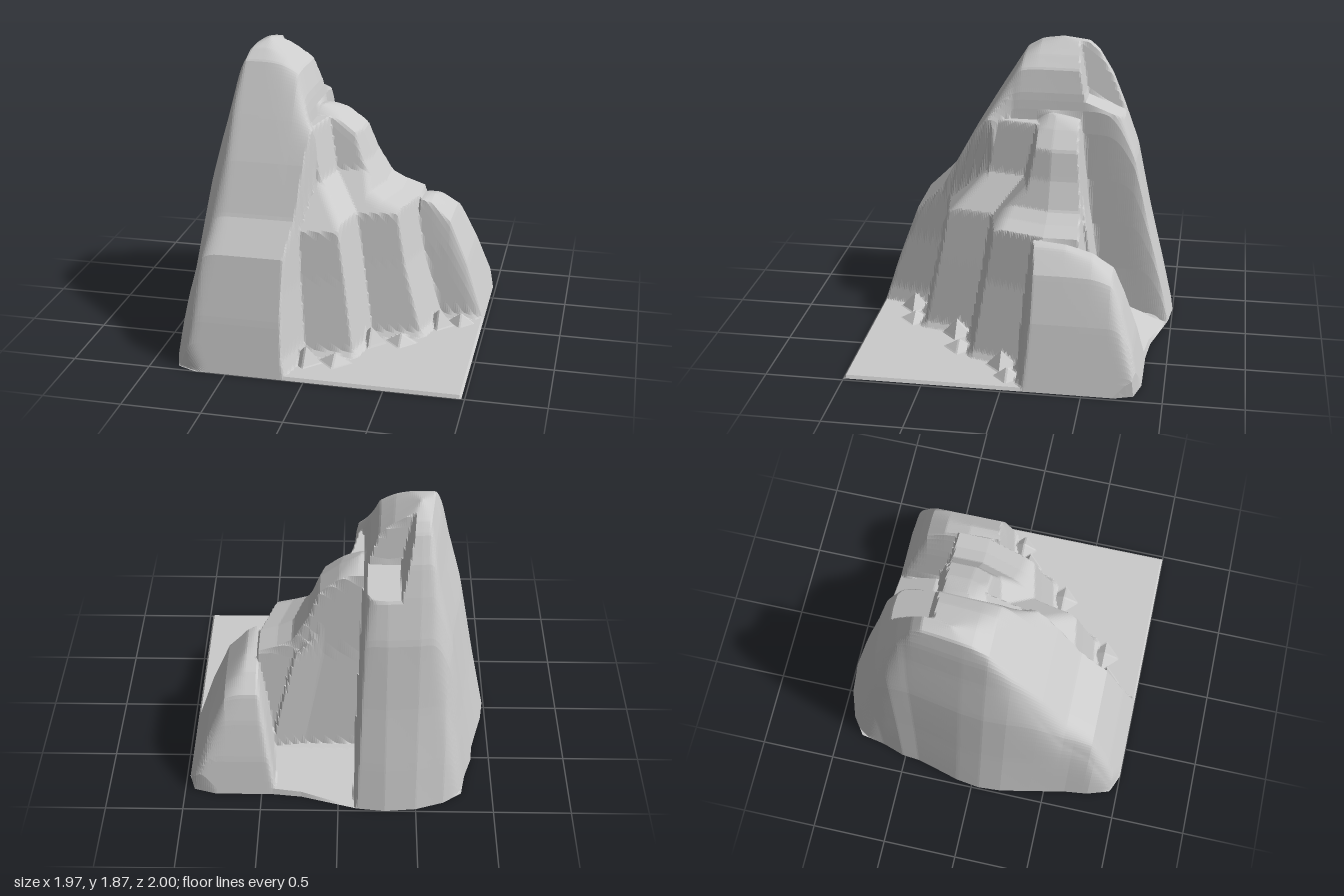
import * as THREE from 'three';

// Piecewise-linear profile through [position, value] pairs
function profile(points, t) {
  if (t <= points[0][0]) return points[0][1];
  for (let i = 1; i < points.length; i++) {
    const [a, ya] = points[i - 1], [b, yb] = points[i];
    if (t <= b) return ya + (yb - ya) * (t - a) / (b - a);
  }
  return points[points.length - 1][1];
}

// Lower of two heights with a slightly worn edge
function softMin(a, b, k = 0.05) {
  const t = Math.max(k - Math.abs(a - b), 0) / k;
  return Math.min(a, b) - t * t * k * 0.25;
}

// Two profile heights joined by a corner that is rounder towards the top
function dome(top, fx, gz) {
  const a = Math.max(0, 1 - fx / top), b = Math.max(0, 1 - gz / top);
  const p = 3 + 9 * Math.max(a, b) ** 3;
  return top * (1 - (a ** p + b ** p) ** (1 / p));
}

// Footprint edges: left edge against z, back edge against x
const leftEdge = [[-1, -0.8], [-0.82, -0.83], [-0.65, -0.88], [-0.5, -0.89], [-0.3, -0.93], [-0.1, -0.97],
  [0.05, -0.99], [0.2, -0.98], [0.4, -0.94], [0.64, -0.89], [0.8, -0.87], [0.95, -0.82], [1, -0.7]];
const backEdge = [[-0.99, -0.72], [-0.82, -0.82], [-0.68, -0.92], [-0.5, -0.98], [-0.3, -1], [-0.12, -0.98],
  [0.24, -0.88], [0.43, -0.86], [0.8, -0.86], [0.94, -0.82], [0.98, -0.7]];

// Main peak with its long front arm
const PEAK = 1.87;
const peakX = [[-1, 0], [-0.95, 0.25], [-0.9, 0.5], [-0.8, 1.05], [-0.7, 1.45], [-0.65, 1.68], [-0.6, 1.84],
  [-0.52, PEAK], [-0.35, 1.78], [-0.25, 1.71], [-0.19, 1.55], [-0.16, 1.42], [-0.1, 0]];
const peakZ = [[-1, 0], [-0.93, 0.3], [-0.83, 0.7], [-0.73, 1.16], [-0.63, 1.43], [-0.55, 1.62], [-0.45, 1.78],
  [-0.38, 1.84], [-0.2, PEAK], [-0.05, 1.83], [0.05, 1.77], [0.25, 1.45], [0.4, 1.2], [0.57, 0.89],
  [0.76, 0.7], [0.9, 0.32], [1, 0]];
// Steep right flank of the front arm
const armX = [[-0.35, 1.9], [-0.3, 1.4], [-0.26, 0.85], [-0.22, 0.5], [-0.16, 0.12], [-0.12, 0]];

// Buttresses: the lower of an x and a z profile, each wall slanting in plan
const buttresses = [
  { slantX: (x, z) => x - 0.2 * (0.5 - z), slantZ: (x, z) => z - 0.15 * (0.1 - x),
    x: [[-0.19, 1.4], [-0.11, 1.05], [0.1, 0.83], [0.17, 0.5], [0.26, 0.06], [0.31, 0]],
    z: [[-0.53, 0], [-0.42, 0.85], [-0.36, 1.4], [0.165, 1.4], [0.226, 1.05], [0.49, 0.8], [0.55, 0.5], [0.65, 0.06], [0.71, 0]] },
  { slantX: (x, z) => x - 0.3 * (0.1 - Math.max(z, -0.2)),
    slantZ: (x, z) => z - 0.2 * (0.45 - x) * Math.min(1, Math.max(0, (z + 0.35) / 0.2)),
    x: [[-0.21, 1.45], [-0.09, 1.38], [0.04, 1.28], [0.11, 1.1], [0.21, 0.93], [0.31, 0.88], [0.43, 0.84],
      [0.51, 0.5], [0.65, 0.06], [0.7, 0]],
    z: [[-0.55, 0], [-0.53, 0.15], [-0.42, 0.85], [-0.36, 1.4], [-0.28, 1.46], [-0.18, 1.38], [-0.1, 1.05], [0.13, 0.82],
      [0.19, 0.5], [0.28, 0.06], [0.33, 0]] },
];

// Right arm
const rightX = [[0.4, 0], [0.47, 0.5], [0.53, 0.84], [0.6, 0.81], [0.73, 0.68], [0.85, 0.4], [0.98, 0]];
const rightZ = [[-0.86, 0], [-0.8, 0.25], [-0.72, 0.5], [-0.65, 0.67], [-0.52, 0.76], [-0.35, 0.81], [-0.15, 0.83],
  [-0.1, 0.5], [-0.045, 0.06], [0, 0]];

// Rubble wedges at the cliff foot: [x, z, half width, height]
const rubble = [[-0.04, 0.76, 0.12, 0.13], [0.14, 0.72, 0.14, 0.08], [0.31, 0.4, 0.12, 0.13],
  [0.5, 0.35, 0.14, 0.08], [0.7, 0.04, 0.12, 0.13], [0.84, -0.02, 0.12, 0.09]];

function peakHeight(u, v, x, z) {
  // The summit's right flank hands over to the arm's flank towards the front
  const front = Math.min(1, Math.max(0, (v - 0.1) / 0.3));
  const flank = u + (Math.min(u, -0.25) - u) * front;
  let h = dome(PEAK, profile(peakX, flank), profile(peakZ, v));
  if (v > 0) h = softMin(h, profile(armX, x - 0.25 * (1 - z)));
  // Ledge cut behind the summit
  if (x > -0.6 && z < -0.1) {
    h = Math.min(h, 1.5 + (z + 0.42) * 0.4 + Math.max(0, (-0.38 - x) * 4, (z + 0.38) * 4.5));
  }
  return h;
}

function height(u, v, x, z) {
  let h = Math.max(0, peakHeight(u, v, x, z));
  if (x < -0.3) return h;
  for (const b of buttresses) {
    h = Math.max(h, softMin(profile(b.x, b.slantX(x, z)), profile(b.z, b.slantZ(x, z))));
  }
  const slanted = z < -0.25 ? z : z + 0.2 * (x - 0.6) * Math.min(1, (z + 0.25) / 0.1);
  h = Math.max(h, dome(0.84, profile(rightX, x), profile(rightZ, slanted)));
  if (x > -0.13 && z > -0.13) {
    // Flat ground with rubble
    h = Math.max(h, 0.02);
    for (const [cx, cz, w, top] of rubble) {
      h = Math.max(h, top * (1 - (Math.abs(x - cx) + Math.abs(z - cz)) / w));
    }
  } else if (x > -0.13 && x < 0.6) {
    // Sloping floor of the rear gully
    h = Math.max(h, 0.02 + 0.13 * Math.min(1, (z + 0.9) / 0.32));
  }
  return h;
}

function mountainGeometry() {
  const n = 150, cols = n + 1, positions = [], index = [];
  for (let j = 0; j <= n; j++) {
    for (let i = 0; i <= n; i++) {
      // Pull the square grid in to the curved footprint
      const u = -1 + 1.98 * i / n, v = -1 + 2 * j / n;
      let x = u, z = v;
      if (u < -0.12) x = -0.12 + (u + 0.12) * (-profile(leftEdge, v) - 0.12) / 0.88;
      if (v < -0.12) z = -0.12 + (v + 0.12) * (-profile(backEdge, x) - 0.12) / 0.88;
      const rim = i === 0 || j === 0 || i === n || j === n;
      positions.push(x, rim ? 0 : height(u, v, x, z), z);
    }
  }
  const y = k => positions[k * 3 + 1];
  for (let j = 0; j < n; j++) {
    for (let i = 0; i < n; i++) {
      const a = j * cols + i, b = a + 1, c = a + cols, d = c + 1;
      // Split each cell along its flatter diagonal
      if (Math.abs(y(a) - y(d)) < Math.abs(y(b) - y(c))) index.push(a, c, d, a, d, b);
      else index.push(a, c, b, b, c, d);
    }
  }
  const geometry = new THREE.BufferGeometry();
  geometry.setAttribute('position', new THREE.Float32BufferAttribute(positions, 3));
  geometry.setIndex(index);
  const flat = geometry.toNonIndexed();
  flat.computeVertexNormals();
  return flat;
}

export function createModel() {
  const group = new THREE.Group();
  group.name = 'mountain';
  const material = new THREE.MeshStandardMaterial({ color: 0xcccccc, flatShading: true, side: THREE.DoubleSide });
  const rock = new THREE.Mesh(mountainGeometry(), material);
  rock.name = 'rockSurface';
  group.add(rock);
  return group;
}
